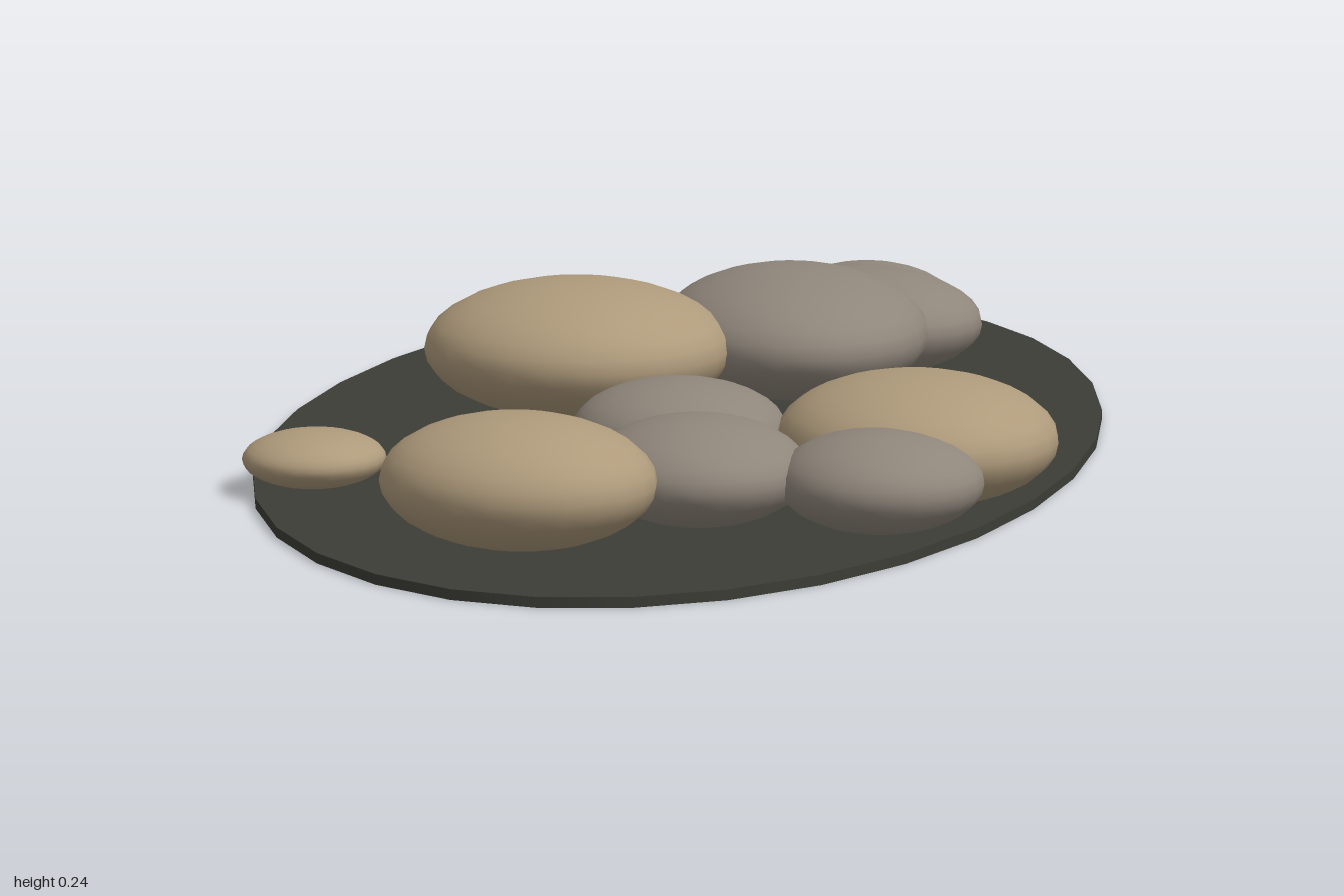
import * as THREE from 'three';

export function createModel() {
  const group = new THREE.Group();
  const soil = new THREE.MeshStandardMaterial({ color: 0x3c3d36 });
  soil.name = 'dark soil';
  const tan = new THREE.MeshStandardMaterial({ color: 0xae9a7b });
  tan.name = 'tan stone';
  const grey = new THREE.MeshStandardMaterial({ color: 0x8f867b });
  grey.name = 'grey stone';

  // thin oval patch of ground, long axis on the diagonal
  const ground = new THREE.Mesh(new THREE.CylinderGeometry(1, 1, 0.016, 32), soil);
  ground.name = 'ground';
  ground.scale.set(1.237, 1, 0.686);
  ground.rotation.y = Math.PI / 4;
  ground.position.y = 0.008;
  group.add(ground);

  // flattened pebbles: name, material, x, z, radius x, radius z, top, turn
  const pebble = new THREE.SphereGeometry(1, 24, 16);
  const stones = [
    ['largeTanStone', tan, -0.09, -0.21, 0.26, 0.27, 0.242, 0],
    ['frontTanStone', tan, -0.02, 0.655, 0.22, 0.237, 0.212, -0.3],
    ['sideTanStone', tan, -0.708, 0.565, 0.19, 0.216, 0.212, 0.5],
    ['smallTanStone', tan, -0.75, 0.028, 0.115, 0.115, 0.1, 0],
    ['largeGreyStone', grey, 0.315, -0.14, 0.235, 0.29, 0.235, -0.52],
    ['middleGreyStone', grey, 0.53, -0.232, 0.195, 0.222, 0.198, 0.5],
    ['endGreyStone', grey, 0.667, -0.395, 0.165, 0.165, 0.17, 0],
    ['clusterGreyStone', grey, -0.395, 0.59, 0.17, 0.182, 0.176, -0.4],
    ['innerGreyStone', grey, -0.248, 0.327, 0.17, 0.175, 0.175, 0.4],
    ['frontGreyStone', grey, -0.197, 0.793, 0.16, 0.16, 0.165, 0],
  ];
  for (const [name, material, x, z, rx, rz, top, turn] of stones) {
    const bottom = 0.01;
    const stone = new THREE.Mesh(pebble, material);
    stone.name = name;
    stone.scale.set(rx, (top - bottom) / 2, rz);
    stone.position.set(x, (top + bottom) / 2, z);
    stone.rotation.y = turn;
    group.add(stone);
  }
  return group;
}
